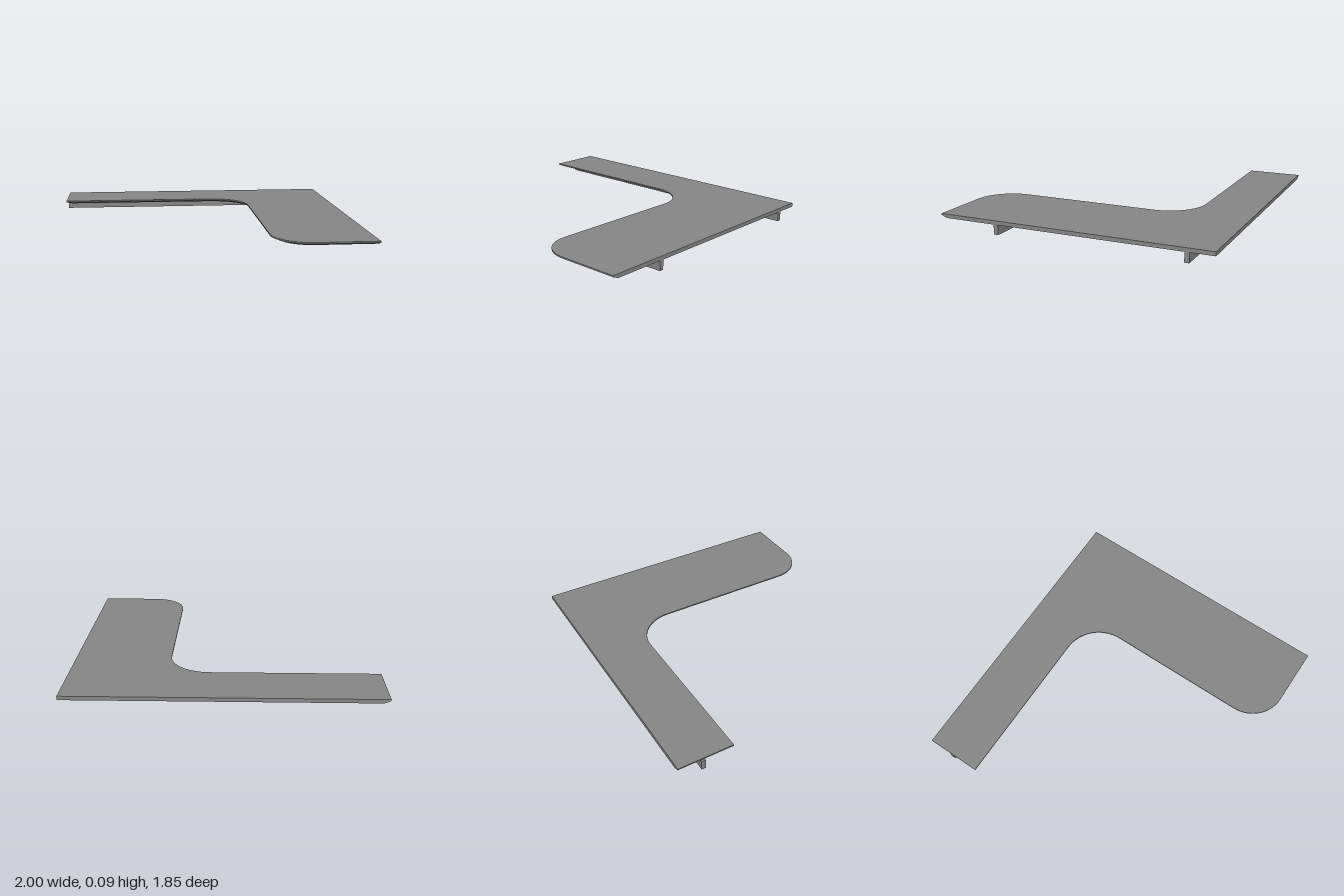
import * as THREE from 'three';
import { toCreasedNormals } from 'three/addons/utils/BufferGeometryUtils.js';

const TOP = 0.09, LIP = 0.081, UNDER = 0.064; // heights of the slab edge
const CHAMFER = 0.042;                        // width of the undercut
const DEPTH = 0.923;                          // half depth of the slab
const ARC_STEPS = 14;

// L-shaped outline in (x, z); inset pulls in every edge but the back and right ones
function outline(inset) {
  const pts = [[-1 + inset, -DEPTH], [1, -DEPTH], [1, DEPTH - inset]];
  const arc = (cx, cz, r, from, to) => {
    for (let i = 0; i <= ARC_STEPS; i++) {
      const a = from + (to - from) * i / ARC_STEPS;
      pts.push([cx + r * Math.cos(a), cz + r * Math.sin(a)]);
    }
  };
  arc(0.603, DEPTH - 0.24, 0.24 - inset, Math.PI / 2, Math.PI); // rounded end corner
  arc(0.098, -0.283, 0.265 + inset, 0, -Math.PI / 2);           // inner fillet
  pts.push([-1 + inset, -0.548 - inset]);
  return pts.map(([x, z]) => new THREE.Vector2(x, z));
}

// Slab lofted through three outlines: top, lip and undercut bottom
function slabGeometry() {
  const rings = [[0, TOP], [0, LIP], [CHAMFER, UNDER]]
    .map(([inset, y]) => outline(inset).map(p => new THREE.Vector3(p.x, y, p.y)));
  const pos = [];
  const tri = (...vs) => vs.forEach(v => pos.push(v.x, v.y, v.z));
  const n = rings[0].length;
  for (let k = 0; k < 2; k++) {
    const a = rings[k], b = rings[k + 1];
    for (let i = 0; i < n; i++) {
      const j = (i + 1) % n;
      tri(a[i], a[j], b[i]);
      tri(a[j], b[j], b[i]);
    }
  }
  const cap = (ring, inset, up) => {
    for (const [a, b, c] of THREE.ShapeUtils.triangulateShape(outline(inset), [])) {
      if (up) tri(ring[a], ring[c], ring[b]);
      else tri(ring[a], ring[b], ring[c]);
    }
  };
  cap(rings[0], 0, true);
  cap(rings[2], CHAMFER, false);
  const geo = new THREE.BufferGeometry();
  geo.setAttribute('position', new THREE.Float32BufferAttribute(pos, 3));
  return toCreasedNormals(geo, 0.2);
}

export function createModel() {
  const model = new THREE.Group();
  model.name = 'cornerWorktop';
  const material = new THREE.MeshStandardMaterial({ color: 0x868686 });

  const slab = new THREE.Mesh(slabGeometry(), material);
  slab.name = 'worktopSlab';
  model.add(slab);

  // Support rails under the slab
  const rail = (name, x0, x1, z0, z1) => {
    const mesh = new THREE.Mesh(new THREE.BoxGeometry(x1 - x0, UNDER, z1 - z0), material);
    mesh.position.set((x0 + x1) / 2, UNDER / 2, (z0 + z1) / 2);
    mesh.name = name;
    model.add(mesh);
  };
  rail('backRail', -1, 1, -0.768, -0.738);
  rail('sideRail', 0.68, 0.71, -0.738, 0.497);
  rail('endRail', 0.68, 1, 0.497, 0.527);

  return model;
}
